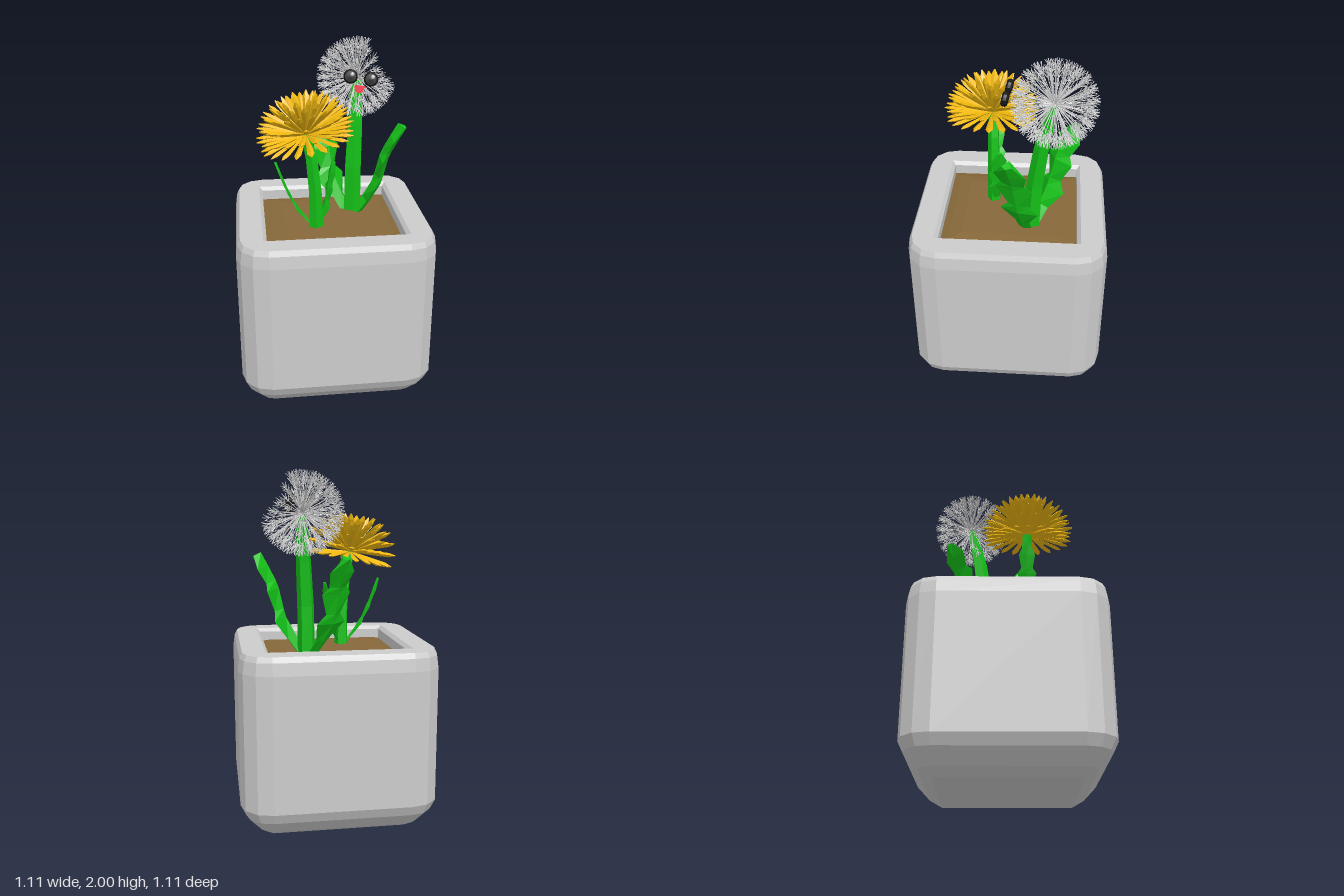
import * as THREE from 'three';
import { mergeGeometries } from 'three/addons/utils/BufferGeometryUtils.js';

const V = (x, y, z) => new THREE.Vector3(x, y, z);
const mat = (color, side = THREE.FrontSide) =>
  new THREE.MeshStandardMaterial({ color, side, flatShading: true });
const grey = mat(0xcccccc), soilMat = mat(0x86683a), green = mat(0x14c018),
  leafGreen = mat(0x14c018, THREE.DoubleSide), yellow = mat(0xf0b810),
  black = mat(0x161616), red = mat(0xf01838);

function add(parent, name, geometry, material) {
  const mesh = new THREE.Mesh(geometry, material);
  mesh.name = name;
  parent.add(mesh);
  return mesh;
}

// Skin over equal-length rings, running counter-clockwise about the direction of travel
function loft(rings, capStart = true, capEnd = true) {
  const n = rings[0].length, pos = rings.flat().flatMap(p => [p.x, p.y, p.z]), idx = [];
  for (let r = 0; r < rings.length - 1; r++)
    for (let i = 0; i < n; i++) {
      const a = r * n + i, b = r * n + (i + 1) % n;
      idx.push(a, b, b + n, a, b + n, a + n);
    }
  const last = (rings.length - 1) * n;
  for (let i = 1; i < n - 1; i++) {
    if (capStart) idx.push(0, i + 1, i);
    if (capEnd) idx.push(last, last + i, last + i + 1);
  }
  const g = new THREE.BufferGeometry();
  g.setAttribute('position', new THREE.Float32BufferAttribute(pos, 3));
  g.setIndex(idx);
  const flat = g.toNonIndexed();
  flat.computeVertexNormals();
  return flat;
}

// Square ring of half size h with rounded corners of radius r, three facets per corner
function squareRing(y, h, r) {
  const pts = [];
  for (let c = 0; c < 4; c++)
    for (let k = 0; k < 4; k++) {
      const mid = (c + 0.5) * Math.PI / 2, t = (c + k / 3) * Math.PI / 2;
      const sx = Math.sign(Math.sin(mid)), sz = Math.sign(Math.cos(mid));
      pts.push(V(sx * (h - r) + r * Math.sin(t), y, sz * (h - r) + r * Math.cos(t)));
    }
  return pts;
}

// Five-sided stem; each step is [x, y, z, radius]
function stem(steps) {
  return loft(steps.map(([x, y, z, r]) => Array.from({ length: 5 }, (_, i) => {
    const t = i / 5 * Math.PI * 2;
    return V(x + r * Math.sin(t), y, z + r * Math.cos(t));
  })));
}

// Jagged leaf along a curve, with a raised keel on its underside
function leaf(points, width, thick) {
  const curve = new THREE.CatmullRomCurve3(points.map(p => V(...p)));
  const teeth = [[0, 0.35], [0.17, 0.4], [0.36, 1], [0.45, 0.5], [0.64, 1], [0.71, 0.6], [0.86, 0.85], [1, 0.25]];
  const a = points[0], b = points[points.length - 1];
  const side = V(b[2] - a[2], 0, a[0] - b[0]).normalize();
  return loft(teeth.map(([t, w]) => {
    const p = curve.getPoint(t), n = curve.getTangent(t).cross(side).normalize();
    const at = (s, d) => p.clone().addScaledVector(side, s).addScaledVector(n, d);
    return [at(width * w, 0), at(0, thick), at(-width * w, 0), at(0, -thick * 0.4)];
  }));
}

// Many-petalled bloom opening along +y
function bloom() {
  const ring = (x, w, h) => [V(x, 0, -w), V(x, h, 0), V(x, 0, w), V(x, -h, 0)];
  const layers = [[-0.16, 0.265, 20], [0.1, 0.275, 20], [0.36, 0.27, 20], [0.62, 0.265, 17], [0.87, 0.255, 13], [1.1, 0.245, 9]];
  const parts = [];
  layers.forEach(([tilt, len, count], k) => {
    const petal = loft([ring(0.025, 0.004, 0.004), ring(len * 0.6, 0.016, 0.01),
      ring(len * 0.86, 0.02, 0.012), ring(len, 0.004, 0.003)]);
    for (let i = 0; i < count; i++)
      parts.push(petal.clone().rotateZ(tilt).rotateY((i + (k % 2) / 2) / count * Math.PI * 2));
  });
  return mergeGeometries(parts);
}

// One seed along +y: thin stalk with barbs spreading near its tip
function seed() {
  const rod = (len, r) => new THREE.CylinderGeometry(r * 0.7, r, len, 4).translate(0, len / 2, 0);
  const parts = [rod(0.235, 0.003)];
  for (const [y, count, len] of [[0.165, 4, 0.045], [0.195, 5, 0.042]])
    for (let i = 0; i < count; i++)
      parts.push(rod(len, 0.0024).rotateZ(-0.5).rotateY((i + y * 10) / count * Math.PI * 2).translate(0, y, 0));
  return mergeGeometries(parts);
}

// Ball of seeds, bare on one upper side
function seedBall(count) {
  const one = seed(), parts = [], gap = V(0.9, 0.44, 0);
  for (let i = 0; i < count; i++) {
    const y = 1 - 2 * (i + 0.5) / count, r = Math.sqrt(1 - y * y), t = i * 2.39996;
    const dir = V(r * Math.cos(t), y, r * Math.sin(t));
    if (dir.dot(gap) > 0.74) continue;
    parts.push(one.clone().applyQuaternion(new THREE.Quaternion().setFromUnitVectors(V(0, 1, 0), dir)));
  }
  return mergeGeometries(parts);
}

export function createModel() {
  const model = new THREE.Group();
  model.name = 'pottedFlowers';

  // Pot with bevelled edges and a square opening
  const pot = [[0, 0.38, 0.01], [0.04, 0.45, 0.08], [0.12, 0.525, 0.145], [0.18, 0.555, 0.175],
    [0.94, 0.555, 0.175], [1.01, 0.545, 0.165], [1.04, 0.53, 0.15],
    [1.04, 0.405, 0.004], [1.02, 0.385, 0.003], [0.96, 0.385, 0.003]];
  add(model, 'pot', loft(pot.map(p => squareRing(...p)), true, false), grey);
  const soil = [[0.96, 0.386, 0.003], [0.975, 0.34, 0.003], [0.985, 0.27, 0.003]];
  add(model, 'soil', loft(soil.map(p => squareRing(...p)), false), soilMat);

  // Open yellow flower
  const flower = new THREE.Group();
  flower.name = 'yellowFlower';
  model.add(flower);
  add(flower, 'stem', stem([[-0.09, 0.96, 0.11, 0.042], [-0.095, 1.2, 0.11, 0.038],
    [-0.115, 1.4, 0.112, 0.034], [-0.15, 1.56, 0.115, 0.028]]), green);
  add(flower, 'leftLeaf', leaf([[-0.1, 0.97, 0.11], [-0.2, 1.1, 0.11], [-0.26, 1.22, 0.11], [-0.32, 1.38, 0.11]], 0.055, 0.01), leafGreen);
  add(flower, 'rightLeaf', leaf([[-0.08, 0.97, 0.1], [-0.03, 1.1, 0.09], [-0.01, 1.22, 0.08], [0.02, 1.36, 0.07]], 0.055, 0.012), leafGreen);
  const petals = add(flower, 'petals', bloom(), yellow);
  petals.position.set(-0.145, 1.54, 0.118);
  petals.rotation.z = 0.2;

  // Seed-head flower
  const puff = new THREE.Group();
  puff.name = 'seedHeadFlower';
  model.add(puff);
  add(puff, 'stem', stem([[0.15, 0.96, -0.125, 0.052], [0.155, 1.25, -0.14, 0.05],
    [0.17, 1.5, -0.175, 0.045], [0.185, 1.76, -0.23, 0.03]]), green);
  add(puff, 'leftLeaf', leaf([[0.18, 0.97, -0.09], [0.29, 1.15, -0.06], [0.34, 1.35, -0.03], [0.43, 1.53, 0]], 0.11, 0.04), leafGreen);
  add(puff, 'backLeaf', leaf([[0.12, 0.97, -0.14], [0.03, 1.15, -0.23], [0, 1.35, -0.28], [-0.04, 1.53, -0.36]], 0.11, 0.04), leafGreen);
  add(puff, 'seeds', seedBall(150), grey).position.set(0.185, 1.77, -0.235);

  // Face on the front of the seed head
  const face = new THREE.Group();
  face.name = 'face';
  face.position.set(0.172, 1.82, 0.012);
  face.rotation.set(-0.2, -0.1, -0.16);
  puff.add(face);
  const profile = [[0, -0.017], [0.033, -0.017], [0.04, -0.008], [0.04, 0.008], [0.031, 0.017], [0, 0.02]];
  for (const s of [-1, 1]) {
    const eye = new THREE.LatheGeometry(profile.map(p => new THREE.Vector2(...p)), 16).rotateX(Math.PI / 2);
    add(face, 'eye', eye, black).position.x = s * 0.057;
    const glint = add(face, 'eyeGlint', new THREE.SphereGeometry(0.011, 10, 8).scale(1, 1, 0.5), grey);
    glint.position.set(s * 0.057 + 0.008, 0.014, 0.018);
  }
  const mouth = new THREE.Shape();
  mouth.moveTo(-0.03, 0);
  mouth.quadraticCurveTo(-0.025, -0.042, 0, -0.042);
  mouth.quadraticCurveTo(0.025, -0.042, 0.03, 0);
  mouth.closePath();
  const mouthGeo = new THREE.ExtrudeGeometry(mouth, { depth: 0.016, bevelEnabled: false, curveSegments: 5 });
  add(face, 'mouth', mouthGeo, red).position.set(0, -0.042, -0.004);

  return model;
}
